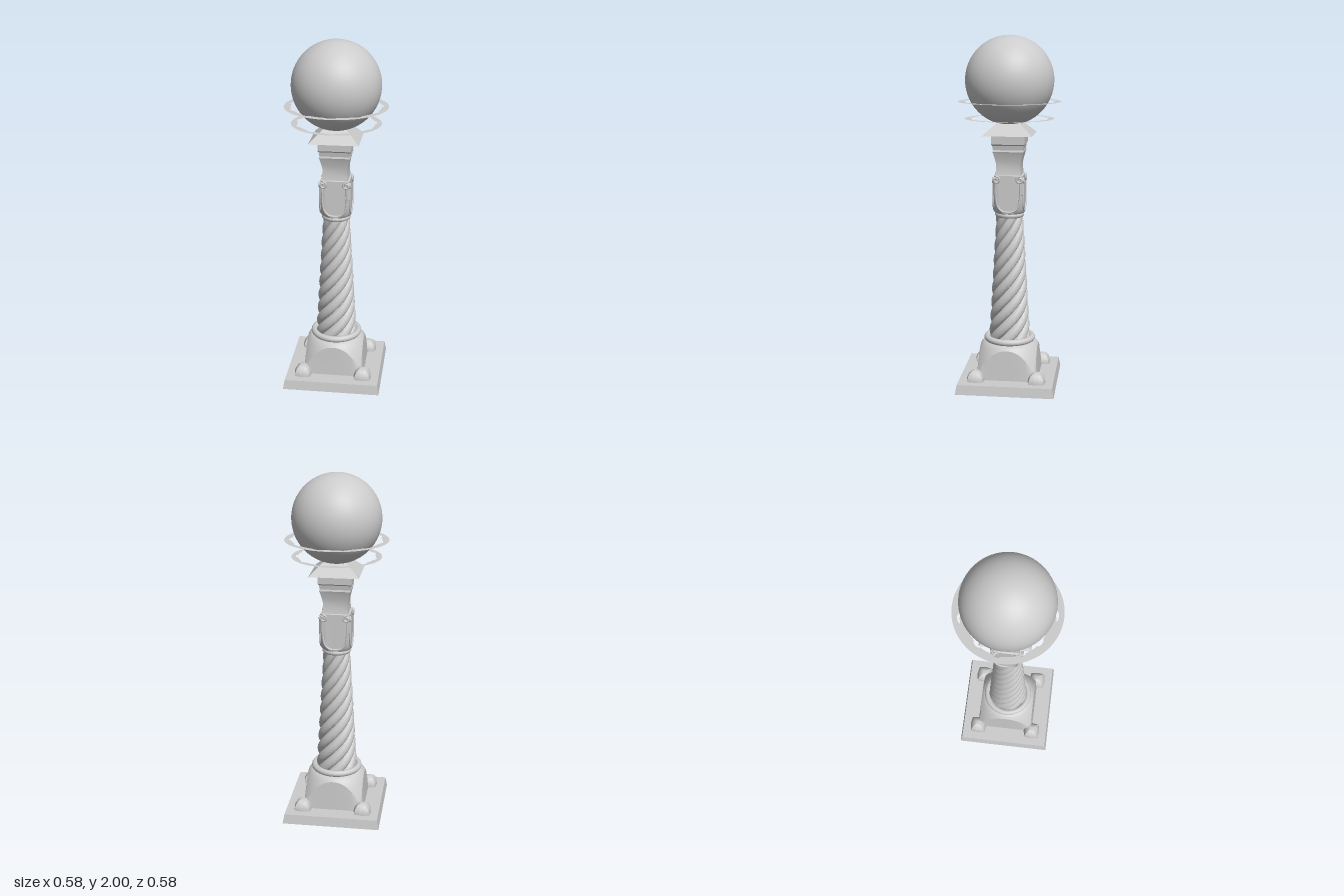
import * as THREE from 'three';
import { toCreasedNormals } from 'three/addons/utils/BufferGeometryUtils.js';

const TAU = Math.PI * 2;

export function createModel() {
  const model = new THREE.Group();
  const grey = new THREE.MeshStandardMaterial({ color: 0xcccccc });
  const thin = new THREE.MeshStandardMaterial({ color: 0xcccccc, side: THREE.DoubleSide });

  const add = (name, geometry, material = grey, parent = model) => {
    const mesh = new THREE.Mesh(geometry, material);
    mesh.name = name;
    parent.add(mesh);
    return mesh;
  };
  const vectors = (pairs) => pairs.map(([x, y]) => new THREE.Vector2(x, y));

  // Square section: half width and height pairs, listed from the bottom up
  const square = (profile) => {
    const g = new THREE.LatheGeometry(vectors(profile.map(([h, y]) => [h * Math.SQRT2, y])), 4);
    g.rotateY(Math.PI / 4);
    return toCreasedNormals(g, 0.3);
  };

  // Closed surface whose rule gives [radius, height, extra turn] for each angle and row
  const shaped = (rows, sides, rule, crease = 0.5) => {
    const base = Array.from({ length: rows + 1 }, (_, i) => new THREE.Vector2(1, i));
    const g = new THREE.LatheGeometry(base, sides);
    const p = g.attributes.position;
    for (let s = 0; s <= sides; s++) {
      const angle = ((s % sides) / sides) * TAU;
      for (let i = 0; i <= rows; i++) {
        const [r, y, turn = 0] = rule(angle, i, i / rows);
        p.setXYZ(s * (rows + 1) + i, r * Math.sin(angle + turn), y, r * Math.cos(angle + turn));
      }
    }
    return toCreasedNormals(g, crease);
  };
  const squareness = (a) => Math.max(Math.abs(Math.cos(a)), Math.abs(Math.sin(a)));

  // Plinth with bevelled sides
  add('plinth', square([[0, 0], [0.28, 0], [0.27, 0.055], [0, 0.055]]));

  // Pedestal: a dome cut by four flat faces, leaving an arch on each
  const domeHeight = (r) => 0.25 - 0.16 * Math.pow(Math.max(0, (r - 0.14) / 0.093), 1.6);
  add('pedestal', shaped(14, 96, (a, i) => {
    const cut = 0.166 / squareness(a);
    if (i === 0) return [0.177 / squareness(a), 0.05];
    const t = (i - 1) / 12;
    if (i === 14) return [0.1, 0.262];
    const r = THREE.MathUtils.lerp(cut, 0.14, t);
    return [r, domeHeight(r)];
  }));

  // Corner knobs: domes on a slightly squared plan
  for (const x of [-0.175, 0.175]) for (const z of [-0.175, 0.175]) {
    const knob = add('cornerKnob', shaped(12, 32, (a, i, t) => {
      const fold = Math.abs(((a % (Math.PI / 2)) + Math.PI / 2) % (Math.PI / 2));
      const b = Math.min(fold, Math.PI / 2 - fold);
      const outline = 0.051 / (Math.cos(b) + 0.16 * Math.sin(b));
      return [outline * Math.cos(t * Math.PI / 2), 0.063 * Math.sin(t * Math.PI / 2)];
    }, 0.4));
    knob.position.set(x, 0.053, z);
  }

  // Collars below and above the twisted shaft
  const collar = (name, y, radius, tube, squash) => {
    const g = new THREE.TorusGeometry(radius, tube, 16, 64);
    g.rotateX(Math.PI / 2);
    g.scale(1, squash, 1);
    add(name, g).position.y = y;
  };
  collar('lowerCollar', 0.266, 0.13, 0.018, 1);
  collar('upperCollar', 0.995, 0.068, 0.015, 1);

  // Twisted shaft: seven rope strands tapering upward
  const strands = 7;
  add('twistedShaft', shaped(120, strands * 12, (a, i, t) => {
    const u = ((a / TAU) * strands) % 1;
    const lobe = Math.sqrt(Math.max(0, 1 - (2 * u - 1) ** 2));
    const radius = THREE.MathUtils.lerp(0.12, 0.076, t);
    return [radius * (0.78 + 0.22 * lobe), 0.26 + 0.74 * t, t * TAU * 1.27];
  }, 0.9));

  // Capital block: a round bell cut by four flat faces
  const capital = new THREE.Group();
  capital.name = 'capital';
  model.add(capital);
  const half = 0.084, bellMax = 0.109, bellMin = 0.078;
  const bellHeight = (r) => 1.005 + 0.125 * (1 - Math.sqrt(Math.max(0, 1 - ((r - bellMin) / (bellMax - bellMin)) ** 2)));
  add('capitalBlock', shaped(14, 96, (a, i) => {
    const r = Math.min(half / squareness(a), bellMax);
    if (i === 13) return [r * 0.98, 1.225];
    if (i === 14) return [0.05, 1.235];
    const s = bellMin + (r - bellMin) * Math.sin((i / 12) * Math.PI / 2);
    return [s, bellHeight(s)];
  }), grey, capital);

  // U-shaped panel rims and scrolls on each face
  const rimPath = new THREE.CatmullRomCurve3(
    [[-0.068, 1.19], [-0.068, 1.1], [-0.058, 1.05], [-0.035, 1.025], [0, 1.018],
      [0.035, 1.025], [0.058, 1.05], [0.068, 1.1], [0.068, 1.19]]
      .map(([x, y]) => new THREE.Vector3(x, y, half)));
  const scrollPath = (side) => new THREE.CatmullRomCurve3(
    Array.from({ length: 15 }, (_, i) => {
      const a = (i / 14) * TAU * 1.3 + Math.PI / 2, r = 0.02 - 0.014 * (i / 14);
      return new THREE.Vector3(side * (0.066 + r * Math.cos(a)), 1.202 + r * Math.sin(a), half + 0.001);
    }));
  for (let k = 0; k < 4; k++) {
    const face = new THREE.Group();
    face.name = 'capitalFace';
    face.rotation.y = k * Math.PI / 2;
    capital.add(face);
    add('panelRim', new THREE.TubeGeometry(rimPath, 48, 0.006, 8), grey, face);
    for (const side of [-1, 1]) {
      add('scroll', new THREE.TubeGeometry(scrollPath(side), 40, 0.006, 8), grey, face);
    }
    // Leaf stem down the corner
    const stem = add('cornerStem', new THREE.CapsuleGeometry(0.008, 0.09, 4, 10), grey, face);
    stem.position.set(0.076, 1.165, 0.076);
  }

  // Moulded square neck and sloping cap
  add('neck', square([[0.074, 1.22], [0.07, 1.245], [0.068, 1.285], [0.074, 1.315], [0.083, 1.35],
    [0.087, 1.36], [0.084, 1.37], [0.088, 1.395], [0.093, 1.402], [0.094, 1.456]]));
  add('cap', square([[0, 1.452], [0.139, 1.452], [0.065, 1.52], [0, 1.52]]));

  // Globe
  add('globe', new THREE.SphereGeometry(0.248, 64, 40)).position.y = 1.752;

  // Flat rings around the globe, inner edge notched by eleven lobes
  const ring = (name, y, outer, inner) => {
    const shape = new THREE.Shape();
    shape.absarc(0, 0, outer, 0, TAU, false);
    const edge = Array.from({ length: 264 }, (_, i) => {
      const a = (i / 264) * TAU;
      const lobe = Math.max(0, Math.cos(11 * (a + Math.PI / 2)) - 0.3) / 0.7;
      const r = inner + 0.011 * Math.sqrt(lobe);
      return new THREE.Vector2(r * Math.cos(a), r * Math.sin(a));
    });
    shape.holes.push(new THREE.Path(edge.reverse()));
    const g = new THREE.ShapeGeometry(shape, 64);
    g.rotateX(-Math.PI / 2);
    add(name, g, thin).position.y = y;
  };
  ring('upperRing', 1.635, 0.288, 0.25);
  ring('lowerRing', 1.54, 0.25, 0.215);

  return model;
}
